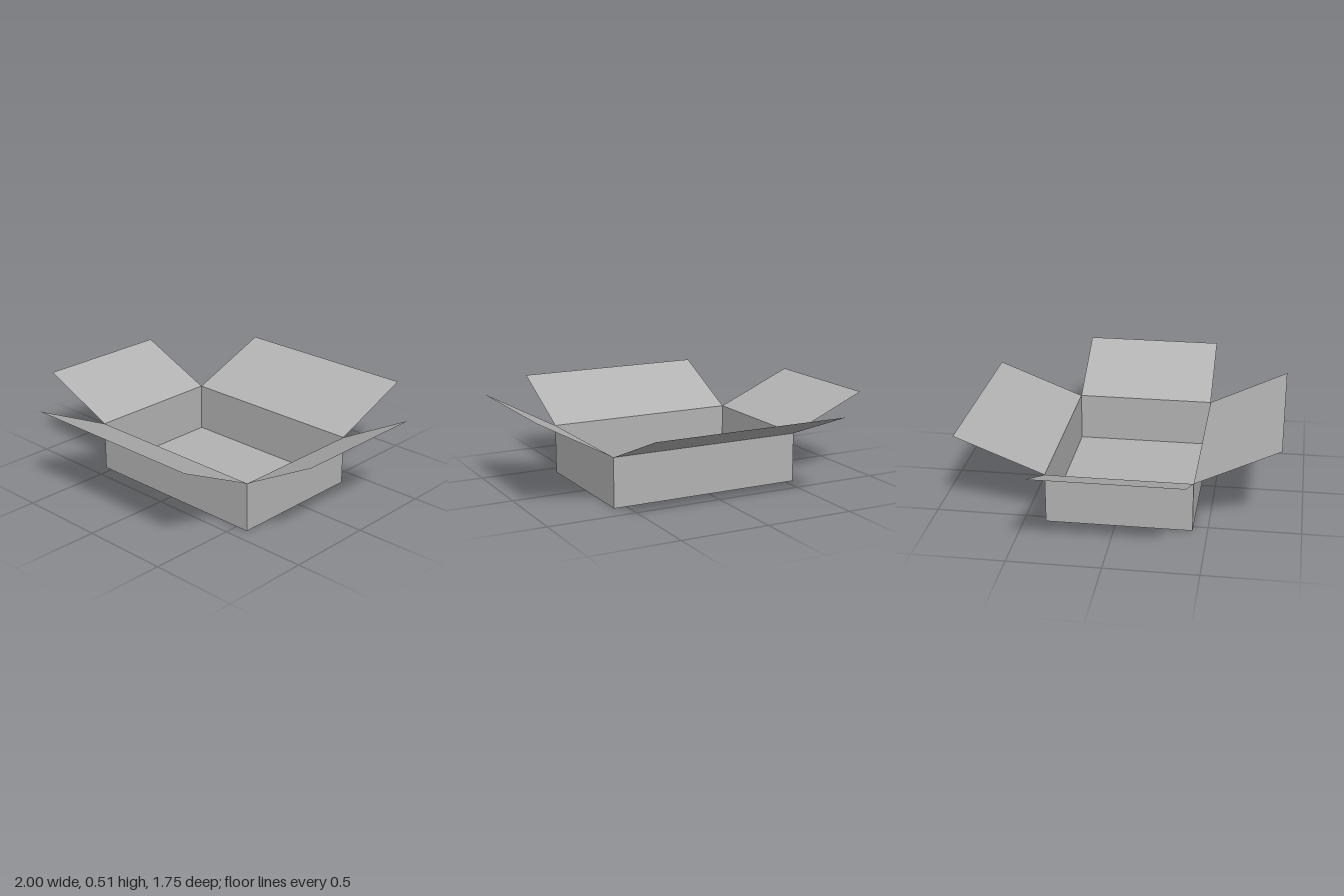
import * as THREE from 'three';

const cardboard = new THREE.MeshStandardMaterial({ color: 0xb2b2b2, side: THREE.DoubleSide });
cardboard.name = 'grey cardboard';

// Flat four-cornered sheet, corners in loop order
function sheet(name, a, b, c, d) {
  const geometry = new THREE.BufferGeometry();
  geometry.setAttribute('position', new THREE.Float32BufferAttribute([a, b, c, d].flat(), 3));
  geometry.setIndex([0, 1, 2, 0, 2, 3]);
  geometry.computeVertexNormals();
  const mesh = new THREE.Mesh(geometry, cardboard);
  mesh.name = name;
  return mesh;
}

export function createModel() {
  const box = new THREE.Group();
  box.name = 'openBox';

  // Footprint corners, running round the box as seen from above
  const height = 0.28;
  const corners = [[-0.545, 0.42], [0.573, 0.42], [0.573, -0.38], [-0.548, -0.38]];
  const at = (i, y, dx = 0, dz = 0) => {
    const [x, z] = corners[i % 4];
    return [x + dx, y, z + dz];
  };

  // Each side has a wall and a flap folded outwards to its own height
  const sides = [
    { name: 'front', dx: 0, dz: 0.453, top: 0.497 },
    { name: 'left', dx: 0.424, dz: 0, top: 0.51 },
    { name: 'back', dx: 0, dz: -0.494, top: 0.475 },
    { name: 'right', dx: -0.453, dz: 0, top: 0.475 },
  ];
  sides.forEach(({ name, dx, dz, top }, i) => {
    box.add(sheet(name + 'Wall', at(i, 0), at(i + 1, 0), at(i + 1, height), at(i, height)));
    box.add(sheet(name + 'Flap', at(i, height), at(i + 1, height),
      at(i + 1, top, dx, dz), at(i, top, dx, dz)));
  });

  // Floor
  box.add(sheet('floor', at(0, 0), at(1, 0), at(2, 0), at(3, 0)));
  return box;
}
